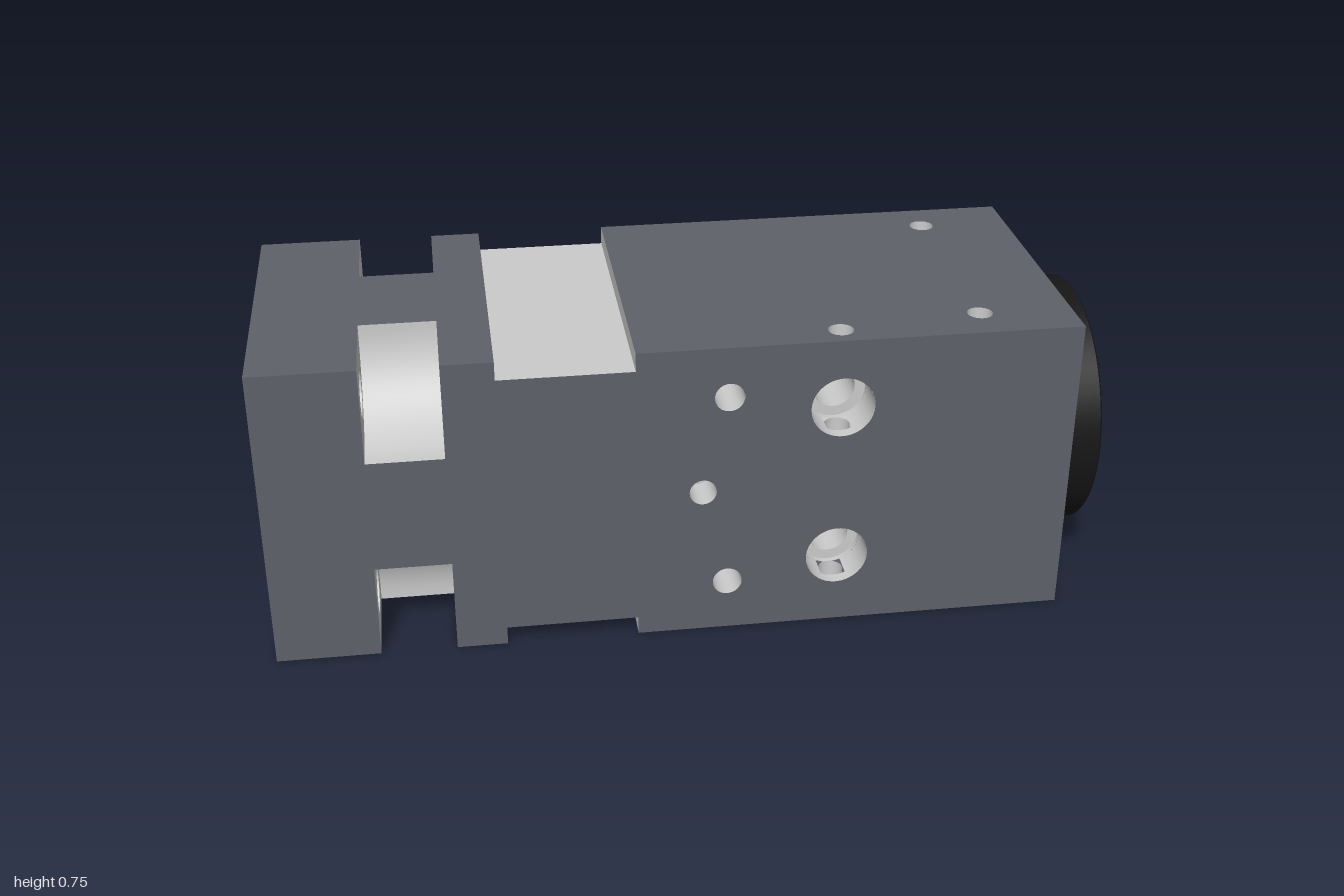
import * as THREE from 'three';

const H = 0.375; // half the square section, also the height of the axis
const mat = (color) => new THREE.MeshStandardMaterial({ color, side: THREE.DoubleSide });
const slate = mat(0x5e6169), steel = mat(0xcccccc), black = mat(0x161616);

export function createModel() {
  const model = new THREE.Group();

  function add(name, geometry, material, parent = model) {
    const mesh = new THREE.Mesh(geometry, material);
    mesh.name = name;
    parent.add(mesh);
    return mesh;
  }

  // Flat face from an outline and round holes [a, b, radius]
  // axis z: outline in (x, y); axis y: in (x, z); axis x: in (z, y)
  function face(name, axis, at, outline, holes = [], material = slate, parent = model) {
    const shape = new THREE.Shape(outline.map(([a, b]) => new THREE.Vector2(a, b)));
    for (const [a, b, r] of holes) {
      const path = new THREE.Path();
      path.absarc(a, b, r, 0, Math.PI * 2, true);
      shape.holes.push(path);
    }
    const g = new THREE.ShapeGeometry(shape, 32);
    if (axis === 'y') g.rotateX(Math.PI / 2);
    if (axis === 'x') g.rotateY(-Math.PI / 2);
    const mesh = add(name, g, material, parent);
    mesh.position[axis] = at;
    return mesh;
  }

  const rect = (a0, b0, a1, b1) => [[a0, b0], [a1, b0], [a1, b1], [a0, b1]];

  // Hole wall along an axis, centred on (a, b) of the two other coordinates
  function bore(name, axis, a, b, from, to, r, start = 0, sweep = Math.PI * 2, parent = model) {
    const g = new THREE.CylinderGeometry(r, r, Math.abs(to - from), 32, 1, true, start, sweep);
    if (axis === 'x') g.rotateZ(Math.PI / 2);
    if (axis === 'z') g.rotateX(Math.PI / 2);
    const mid = (from + to) / 2;
    const mesh = add(name, g, steel, parent);
    if (axis === 'x') mesh.position.set(mid, b, a);
    if (axis === 'y') mesh.position.set(a, mid, b);
    if (axis === 'z') mesh.position.set(a, b, mid);
  }

  // Blind hole: wall plus round bottom
  function blind(name, axis, a, b, from, to, r, bottom = steel) {
    bore(name, axis, a, b, from, to, r);
    const g = new THREE.CircleGeometry(r, 32);
    if (axis === 'y') g.rotateX(Math.PI / 2);
    const mesh = add(name + 'Bottom', g, bottom);
    if (axis === 'y') mesh.position.set(a, to, b);
    else mesh.position.set(a, b, to);
  }

  // Front and back faces, notched by the corner pockets and the cross grooves
  const P0 = -0.755, P1 = -0.575, G0 = -0.455, G1 = -0.14, E = 0.9;
  const edge = [[-1, H], [P0, H], [P0, 0.14], [P1, 0.14], [P1, H], [G0, H],
    [G0, 0.33], [G1, 0.33], [G1, H], [E, H]];
  const side = [...edge.map(([x, d]) => [x, H + d]),
    ...edge.slice().reverse().map(([x, d]) => [x, H - d])];
  const pins = [[0.075, 0.625, 0.035], [0.075, 0.13, 0.035]];
  const bolts = [0.58, 0.18];
  face('frontFace', 'z', H, side,
    [...pins, [0.015, 0.38, 0.032], ...bolts.map((y) => [0.34, y, 0.075])]);
  face('backFace', 'z', -H, side, [...pins, ...bolts.map((y) => [0.34, y, 0.05])]);

  // Top and bottom faces with their cross grooves
  const head = [[-1, H], [P0, H], [P0, 0.14], [P1, 0.14], [P1, H], [G0, H]];
  const headOutline = [...head, ...head.slice().reverse().map(([x, z]) => [x, -z])];
  const vertical = [[0.68, 0.27, 0.03], [0.68, -0.27, 0.03], [0.34, 0.315, 0.03]];
  for (const s of [1, -1]) {
    const label = s > 0 ? 'top' : 'bottom', y = H + s * H;
    face(label + 'HeadFace', 'y', y, headOutline, s < 0 ? [[-0.52, 0, 0.018]] : []);
    face(label + 'MainFace', 'y', y, rect(G1, -H, E, H),
      s < 0 ? [...vertical, [-0.05, 0, 0.038]] : vertical);
    face(label + 'GrooveFloor', 'y', H + s * 0.33, rect(G0, -H, G1, H), [], steel);
    for (const x of [G0, G1])
      face(label + 'GrooveWall', 'x', x, rect(-H, H + s * 0.33, H, y), [], steel);
    for (const z of [0.27, -0.27])
      blind(label + 'ThreadedHole', 'y', 0.68, z, y, y - s * 0.09, 0.03, black);
  }
  blind('bottomPinHole', 'y', -0.52, 0, 0, 0.08, 0.018);
  blind('bottomPort', 'y', -0.05, 0, 0, 0.2, 0.038);

  // End faces
  const corners = [[1, 1], [1, -1], [-1, 1], [-1, -1]];
  face('mountingFace', 'x', -1, rect(-H, 0, H, 2 * H),
    [[0, H, 0.285], ...corners.map(([a, b]) => [a * 0.265, H + b * 0.265, 0.056])]);
  face('collarEndFace', 'x', E, rect(-H, 0, H, 2 * H), [[0, H, 0.2]]);

  // Corner pockets with a hollow round floor and a bolt hole through the flange
  const arc = [[0.14, H]];
  for (let i = 0; i <= 20; i++) {
    const t = Math.PI + (i / 20) * Math.PI / 2;
    arc.push([0.36 + 0.22 * Math.cos(t), 0.36 + 0.22 * Math.sin(t)]);
  }
  arc.push([H, 0.14]);
  for (const [sz, sy] of corners) {
    const pocket = new THREE.Group();
    pocket.name = 'cornerPocket';
    pocket.position.y = H;
    pocket.scale.set(1, sy, sz);
    model.add(pocket);
    const floor = new THREE.PlaneGeometry(1, 1, 1, arc.length - 1);
    const p = floor.attributes.position;
    for (let i = 0; i < p.count; i++) {
      const [z, y] = arc[i >> 1];
      p.setXYZ(i, i % 2 ? P1 : P0, y, z);
    }
    floor.computeVertexNormals();
    add('pocketFloor', floor, steel, pocket);
    const wall = [[H, H], ...arc];
    face('pocketFlangeWall', 'x', P0, wall, [[0.265, 0.265, 0.056]], steel, pocket);
    face('pocketInnerWall', 'x', P1, wall, [], steel, pocket);
    bore('flangeBoltHole', 'x', 0.265, 0.265, -1, P0, 0.056, 0, Math.PI * 2, pocket);
  }

  // Counterbored through holes; the wall opens where the vertical hole crosses
  const gap = 0.41, sweep = Math.PI - 2 * gap;
  for (const y of bolts) {
    bore('counterbore', 'z', 0.34, y, 0.345, H, 0.075);
    bore('counterbore', 'z', 0.34, y, 0.285, 0.345, 0.075, gap, sweep);
    bore('counterbore', 'z', 0.34, y, 0.285, 0.345, 0.075, Math.PI + gap, sweep);
    bore('counterbore', 'z', 0.34, y, 0.27, 0.285, 0.075);
    const seat = add('counterboreSeat', new THREE.RingGeometry(0.05, 0.075, 32), steel);
    seat.position.set(0.34, y, 0.27);
    bore('boltHole', 'z', 0.34, y, -H, 0.27, 0.05);
  }
  for (const [y0, y1] of [[0, 0.107], [0.253, 0.507], [0.653, 0.75]])
    bore('verticalHole', 'y', 0.34, 0.315, y0, y1, 0.03);

  // Small side holes
  blind('upperPinHole', 'z', 0.075, 0.625, H, 0.1, 0.035, black);
  blind('upperPinHoleBack', 'z', 0.075, 0.625, -H, -0.25, 0.035);
  bore('lowerPinHole', 'z', 0.075, 0.13, -H, H, 0.035);
  blind('sidePort', 'z', 0.015, 0.38, H, 0.28, 0.032);

  // Turned parts on the long axis, profile points are [radius, x]
  function turned(name, profile, material) {
    // repeated corners keep the edges sharp
    const pts = profile.flatMap(([r, x]) => [new THREE.Vector2(r, x), new THREE.Vector2(r, x)]);
    const g = new THREE.LatheGeometry(pts, 64).toNonIndexed();
    g.rotateZ(-Math.PI / 2);
    add(name, g, material).position.y = H;
  }
  turned('mainBore', [[0.285, -1], [0.285, -0.94], [0.235, -0.94], [0.235, -0.11],
    [0.143, -0.11], [0.143, 0.8]], steel);
  turned('blackCollar', [[0.2, 0.9], [0.31, 0.9], [0.31, 0.995], [0.305, 1], [0.195, 1],
    [0.188, 0.996], [0.184, 0.985], [0.184, 0.8], [0.143, 0.8]], black);

  return model;
}
